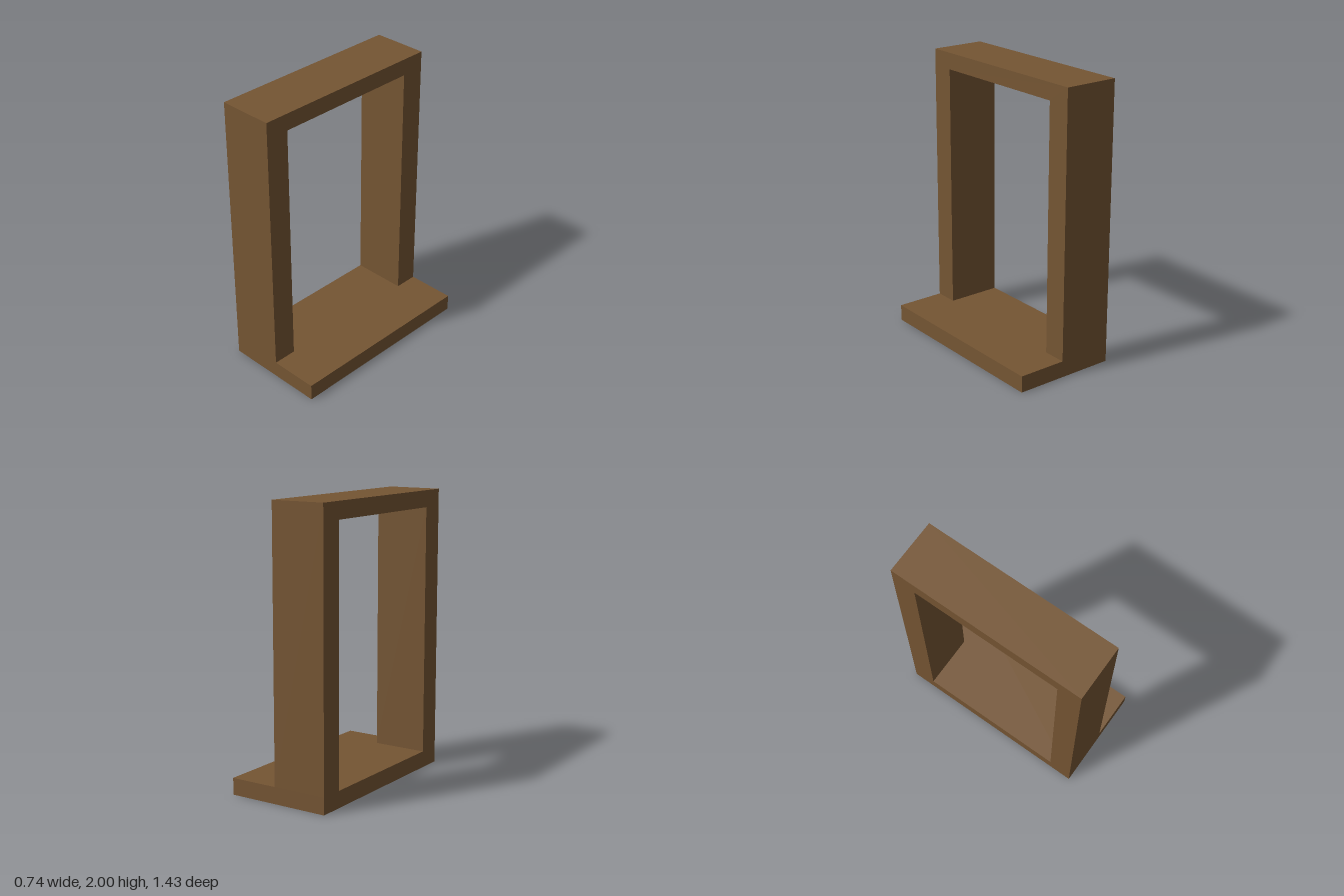
import * as THREE from 'three';

export function createModel() {
  const group = new THREE.Group();
  const wood = new THREE.MeshStandardMaterial({ color: 0x755533 });
  wood.name = 'brownWood';

  const back = -0.372, frameFront = 0.022, sillFront = 0.372;
  const halfWidth = 0.713, innerHalf = 0.542;
  const sillTop = 0.118, lintelBottom = 1.882, top = 2;

  // Box given by its lower and upper corners
  function block(name, [x0, y0, z0], [x1, y1, z1]) {
    const geometry = new THREE.BoxGeometry(x1 - x0, y1 - y0, z1 - z0);
    const mesh = new THREE.Mesh(geometry, wood);
    mesh.position.set((x0 + x1) / 2, (y0 + y1) / 2, (z0 + z1) / 2);
    mesh.name = name;
    group.add(mesh);
  }

  // Wide sill that projects beyond the frame
  block('sill', [back, 0, -halfWidth], [sillFront, sillTop, halfWidth]);

  // Two posts and the lintel, as one arch extruded through the frame depth
  const arch = new THREE.Shape([
    [-halfWidth, sillTop], [-innerHalf, sillTop], [-innerHalf, lintelBottom], [innerHalf, lintelBottom],
    [innerHalf, sillTop], [halfWidth, sillTop], [halfWidth, top], [-halfWidth, top],
  ].map(([x, y]) => new THREE.Vector2(x, y)));
  const geometry = new THREE.ExtrudeGeometry(arch, { depth: frameFront - back, bevelEnabled: false });
  geometry.rotateY(Math.PI / 2).translate(back, 0, 0);
  const frame = new THREE.Mesh(geometry, wood);
  frame.name = 'postsAndLintel';
  group.add(frame);

  return group;
}
